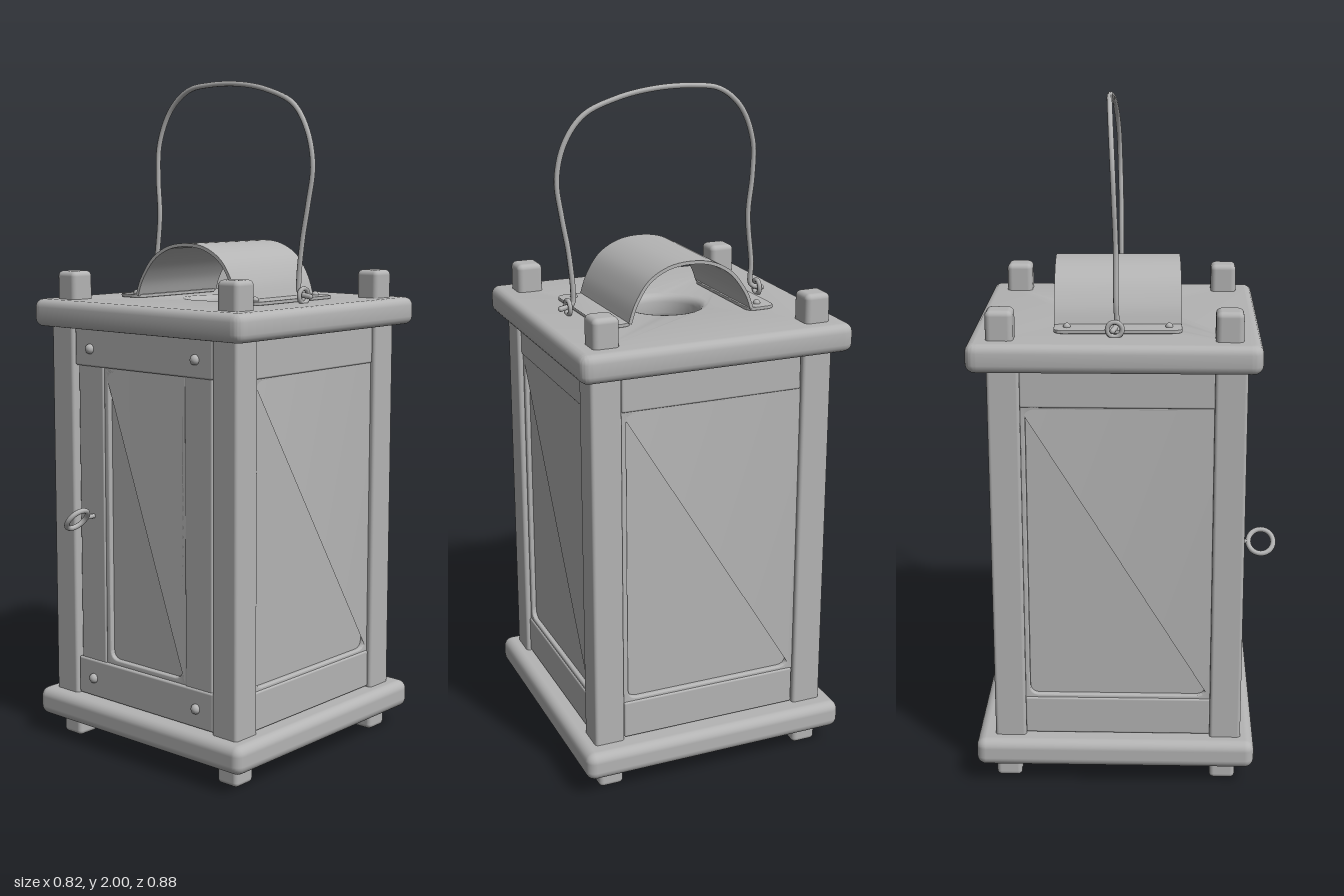
import * as THREE from 'three';
import { toCreasedNormals } from 'three/addons/utils/BufferGeometryUtils.js';
import { RoundedBoxGeometry } from 'three/addons/geometries/RoundedBoxGeometry.js';

const gray = new THREE.MeshStandardMaterial({ color: 0xb4b4b4 });
gray.name = 'plainGray';

function add(parent, name, geometry, x = 0, y = 0, z = 0) {
  const mesh = new THREE.Mesh(geometry, gray);
  mesh.name = name;
  mesh.position.set(x, y, z);
  parent.add(mesh);
  return mesh;
}

const block = (w, h, d, r) => new RoundedBoxGeometry(w, h, d, 3, r);

// Rounded rectangle outline centred on the origin
function roundedRect(w, h, r, Type = THREE.Shape) {
  const s = new Type(), x = w / 2, y = h / 2;
  s.moveTo(-x + r, -y);
  s.lineTo(x - r, -y).quadraticCurveTo(x, -y, x, -y + r);
  s.lineTo(x, y - r).quadraticCurveTo(x, y, x - r, y);
  s.lineTo(-x + r, y).quadraticCurveTo(-x, y, -x, y - r);
  s.lineTo(-x, -y + r).quadraticCurveTo(-x, -y, -x + r, -y);
  return s;
}

// Extrusion from z = 0 to z = depth with rounded edges that stay inside the outline
function extrude(shape, depth, bevel) {
  const g = new THREE.ExtrudeGeometry(shape, {
    depth: depth - 2 * bevel, bevelEnabled: bevel > 0, bevelSize: bevel,
    bevelThickness: bevel, bevelOffset: -bevel, bevelSegments: 4, curveSegments: 16,
  });
  g.translate(0, 0, bevel);
  return toCreasedNormals(g, 0.7);
}

// Thin rim around a pane, both rounded at the corners
function addPane(parent, w, h, paneW, paneH, y, z) {
  const rim = roundedRect(w, h, 0.003);
  rim.holes.push(roundedRect(paneW, paneH, 0.03, THREE.Path));
  add(parent, 'paneFrame', extrude(rim, 0.03, 0.005), 0, y, z - 0.03);
  add(parent, 'pane', new THREE.BoxGeometry(w - 0.01, h - 0.01, 0.01), 0, y, z - 0.019);
}

function addRails(parent, z) {
  for (const [name, y] of [['bottomRail', 0.205], ['topRail', 1.22]])
    add(parent, name, block(0.55, 0.115, 0.04, 0.006), 0, y, z - 0.02);
}

// Wall with two rails and one large pane, facing +z
function addWall(parent, name, angle) {
  const wall = new THREE.Group();
  wall.name = name;
  wall.rotation.y = angle;
  addRails(wall, 0.357);
  addPane(wall, 0.56, 0.91, 0.52, 0.88, 0.7125, 0.352);
  parent.add(wall);
}

// Door with stiles, narrow pane, rivets and a ring pull
function addDoor(parent) {
  const door = new THREE.Group();
  door.name = 'door';
  addRails(door, 0.358);
  for (const s of [-1, 1])
    add(door, 'stile', block(0.105, 0.91, 0.04, 0.006), s * 0.215, 0.7125, 0.332);
  addPane(door, 0.33, 0.91, 0.29, 0.87, 0.7125, 0.348);
  for (const x of [-0.21, 0.21]) for (const y of [0.205, 1.215]) {
    const rivet = add(door, 'rivet', new THREE.SphereGeometry(0.015, 14, 10), x, y, 0.36);
    rivet.scale.z = 0.9;
  }
  const pull = new THREE.Group();
  pull.name = 'ringPull';
  pull.position.set(-0.21, 0.71, 0.42);
  pull.rotation.z = -0.65;
  add(pull, 'ring', new THREE.TorusGeometry(0.037, 0.008, 10, 28)).rotation.y = Math.PI / 2;
  add(pull, 'ringStem', new THREE.CylinderGeometry(0.007, 0.007, 0.05, 10), 0, 0, -0.06).rotation.x = Math.PI / 2;
  door.add(pull);
  parent.add(door);
}

// Arched sheet with flat flanges riveted over the vent
function addHood(parent) {
  const hood = new THREE.Group();
  hood.name = 'hood';
  hood.position.set(0, 1.36, -0.028);
  hood.rotation.y = 0.03;
  const pts = [[-0.195, 0.004], [-0.175, 0.055], [-0.13, 0.115], [-0.07, 0.15], [0, 0.161],
    [0.07, 0.152], [0.13, 0.118], [0.17, 0.06], [0.19, 0.004]].map(p => new THREE.Vector2(...p));
  const curve = new THREE.SplineCurve(pts).getPoints(40);
  const outer = [], inner = [];
  curve.forEach((p, i) => {
    const a = curve[Math.max(i - 1, 0)], b = curve[Math.min(i + 1, 40)];
    const n = new THREE.Vector2(a.y - b.y, b.x - a.x).normalize().multiplyScalar(0.005);
    outer.push(p.clone().add(n));
    inner.unshift(p.clone().sub(n));
  });
  const arch = extrude(new THREE.Shape([...outer, ...inner]), 0.365, 0);
  add(hood, 'arch', arch, 0, 0, -0.1825);
  for (const s of [-1, 1]) {
    const flange = extrude(roundedRect(0.09, 0.365, 0.03), 0.01, 0.002);
    add(hood, 'flange', flange, s * 0.228, -0.003, 0).rotation.x = -Math.PI / 2;
    for (const z of [-0.145, 0.145])
      add(hood, 'hoodRivet', new THREE.SphereGeometry(0.011, 12, 8), s * 0.23, 0.008, z);
  }
  parent.add(hood);
}

// Bent wire bail hanging in two eyelets
function addHandle(parent) {
  const path = [[-0.315, 1.375, -0.034], [-0.285, 1.385, -0.024], [-0.284, 1.45, -0.025], [-0.27, 1.6, -0.026],
    [-0.28, 1.72, -0.03], [-0.277, 1.82, -0.034], [-0.235, 1.92, -0.04], [-0.165, 1.977, -0.045],
    [-0.08, 1.991, -0.049], [0.04, 1.989, -0.05], [0.15, 1.968, -0.046], [0.25, 1.925, -0.04],
    [0.305, 1.85, -0.034], [0.329, 1.75, -0.031], [0.315, 1.64, -0.028], [0.297, 1.54, -0.027],
    [0.285, 1.42, -0.026], [0.288, 1.385, -0.026], [0.325, 1.375, -0.03]].map(p => new THREE.Vector3(...p));
  add(parent, 'wireHandle', new THREE.TubeGeometry(new THREE.CatmullRomCurve3(path), 140, 0.008, 8));
  for (const s of [-1, 1]) {
    add(parent, 'eyelet', new THREE.TorusGeometry(0.021, 0.007, 8, 20), s * 0.302, 1.377, -0.028).rotation.y = Math.PI / 2;
    for (const p of [path[0], path[path.length - 1]])
      if (p.x * s > 0) add(parent, 'wireEnd', new THREE.SphereGeometry(0.008, 8, 6), p.x, p.y, p.z);
  }
}

export function createModel() {
  const model = new THREE.Group();
  model.name = 'lantern';

  // Base and vented top slab
  const midZ = -0.0275;
  add(model, 'baseSlab', block(0.825, 0.085, 0.825, 0.028), 0, 0.1025, midZ);
  const topShape = roundedRect(0.825, 0.825, 0.035);
  const vent = new THREE.Path();
  vent.absarc(0, 0, 0.105, 0, Math.PI * 2, true);
  topShape.holes.push(vent);
  add(model, 'topSlab', extrude(topShape, 0.082, 0.024), 0, 1.274, midZ).rotation.x = -Math.PI / 2;

  // Corner posts with square pegs showing below and above
  const body = new THREE.Group();
  body.name = 'body';
  body.position.z = -0.02;
  model.add(body);
  for (const x of [-1, 1]) for (const z of [-1, 1]) {
    add(body, 'cornerPost', block(0.092, 1.16, 0.092, 0.01), x * 0.323, 0.71, z * 0.319);
    add(model, 'foot', block(0.076, 0.1, 0.076, 0.014), x * 0.32, 0.05, midZ + z * 0.32);
    add(model, 'topPeg', block(0.078, 0.12, 0.078, 0.016), x * 0.32, 1.38, midZ + z * 0.32);
  }

  // Walls, door, hood and handle
  addWall(body, 'leftWall', Math.PI / 2);
  addWall(body, 'rightWall', -Math.PI / 2);
  addWall(body, 'backWall', Math.PI);
  addDoor(body);
  addHood(model);
  addHandle(model);
  return model;
}
